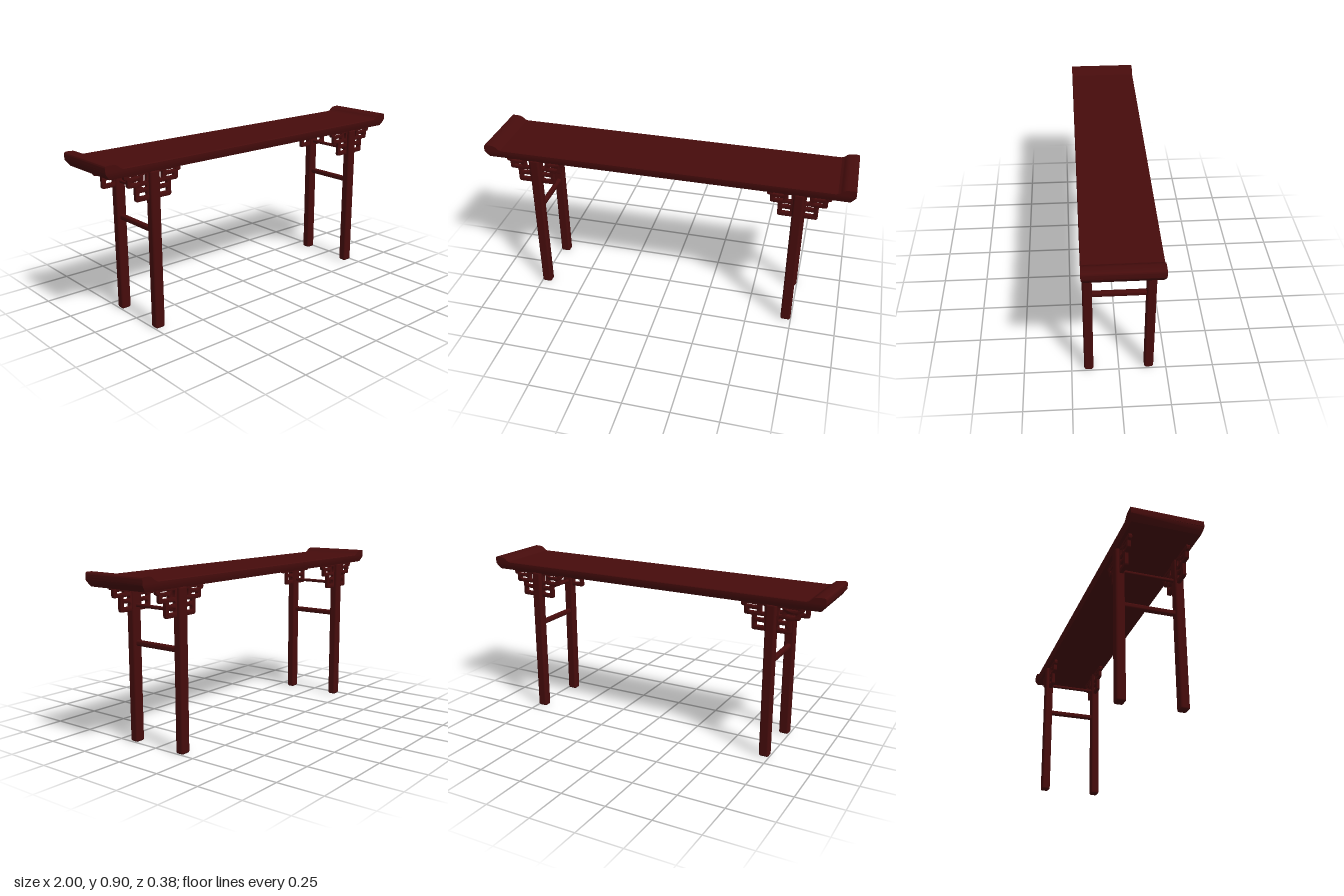
import * as THREE from 'three';
import { RoundedBoxGeometry } from 'three/addons/geometries/RoundedBoxGeometry.js';
import { toCreasedNormals } from 'three/addons/utils/BufferGeometryUtils.js';

const wood = new THREE.MeshStandardMaterial({ color: 0x460c0c });
wood.name = 'dark red lacquer';

const LEG_X = 0.72, LEG_Z = 0.159, TOP_Y = 0.835;
const points = (list) => list.map(([x, y]) => new THREE.Vector2(x, y));

// Closed path with rounded corners
function roundedPath(path, list, r) {
  const p = points(list);
  p.forEach((c, i) => {
    const toward = (q) => c.clone().add(q.clone().sub(c).setLength(Math.min(r, q.distanceTo(c) * 0.45)));
    const a = toward(p[(i + p.length - 1) % p.length]);
    const b = toward(p[(i + 1) % p.length]);
    if (i === 0) path.moveTo(a.x, a.y);
    else path.lineTo(a.x, a.y);
    path.quadraticCurveTo(c.x, c.y, b.x, b.y);
  });
  path.closePath();
  return path;
}

// Plank with a moulded edge that tapers inward below
function tabletop() {
  const half = [[0.18, 0.833], [0.186, 0.848], [0.19, 0.866], [0.19, 0.876], [0.187, 0.88]];
  const mirrored = half.map(([z, y]) => [-z, y]).reverse();
  const geo = new THREE.ExtrudeGeometry(new THREE.Shape(points([...half, ...mirrored])), { depth: 2, bevelEnabled: false });
  geo.translate(0, 0, -1).rotateY(Math.PI / 2);
  const pos = geo.attributes.position;
  for (let i = 0; i < pos.count; i++) {
    const drop = Math.max(0, 0.866 - pos.getY(i));
    pos.setX(i, Math.sign(pos.getX(i)) * (1 - drop * 0.75));
  }
  return toCreasedNormals(geo, 0.5);
}

// Upturned flange at one end of the top
function flange(side) {
  const s = new THREE.Shape();
  s.moveTo(side * 0.9, 0.872);
  s.lineTo(side * 0.905, 0.879);
  s.bezierCurveTo(side * 0.93, 0.883, side * 0.925, 0.902, side * 0.96, 0.904);
  s.lineTo(side * 0.985, 0.905);
  s.quadraticCurveTo(side, 0.905, side, 0.892);
  s.lineTo(side, 0.87);
  s.closePath();
  const geo = new THREE.ExtrudeGeometry(s, { depth: 0.38, bevelEnabled: false, curveSegments: 8 });
  return toCreasedNormals(geo.translate(0, 0, -0.19), 0.6);
}

// Stepped fretwork bracket on one side of a leg
function bracket(side) {
  const flip = (list) => list.map(([x, y]) => [x * side, y]);
  const shape = roundedPath(new THREE.Shape(), flip([
    [0.015, TOP_Y], [0.163, TOP_Y], [0.163, 0.81], [0.145, 0.81],
    [0.145, 0.768], [0.102, 0.768], [0.102, 0.692], [0.015, 0.692],
  ]), 0.01);
  const holes = [
    [0.036, 0.058, 0.782, 0.822], [0.075, 0.138, 0.812, 0.824], [0.076, 0.126, 0.782, 0.798],
    [0.036, 0.084, 0.75, 0.768], [0.036, 0.084, 0.71, 0.735],
  ];
  for (const [a, b, c, d] of holes)
    shape.holes.push(roundedPath(new THREE.Path(), flip([[a, c], [b, c], [b, d], [a, d]]), 0.006));
  const geo = new THREE.ExtrudeGeometry(shape, {
    depth: 0.012, bevelThickness: 0.004, bevelSize: 0.003, bevelSegments: 2, curveSegments: 4,
  });
  return toCreasedNormals(geo.translate(0, 0, -0.006), 0.7);
}

export function createModel() {
  const group = new THREE.Group();
  group.name = 'altarTable';
  const add = (name, geo, x = 0, y = 0, z = 0) => {
    const mesh = new THREE.Mesh(geo, wood);
    mesh.name = name;
    mesh.position.set(x, y, z);
    group.add(mesh);
  };

  add('tabletop', tabletop());
  const legGeo = new RoundedBoxGeometry(0.056, 0.838, 0.049, 3, 0.012);
  const lowerGeo = new RoundedBoxGeometry(0.028, 0.03, 0.3, 3, 0.011);
  const upperGeo = new RoundedBoxGeometry(0.018, 0.018, 0.3, 3, 0.007);
  const bracketGeos = [-1, 1].map(bracket);

  for (const sx of [-1, 1]) {
    add('endFlange', flange(sx));
    // Cross rails joining each pair of legs
    add('lowerStretcher', lowerGeo, sx * LEG_X, 0.524);
    add('upperStretcher', upperGeo, sx * LEG_X, 0.717);
    for (const sz of [-1, 1]) {
      add('leg', legGeo, sx * LEG_X, 0.419, sz * LEG_Z);
      for (const geo of bracketGeos) add('fretBracket', geo, sx * LEG_X, 0, sz * 0.153);
    }
  }
  return group;
}
